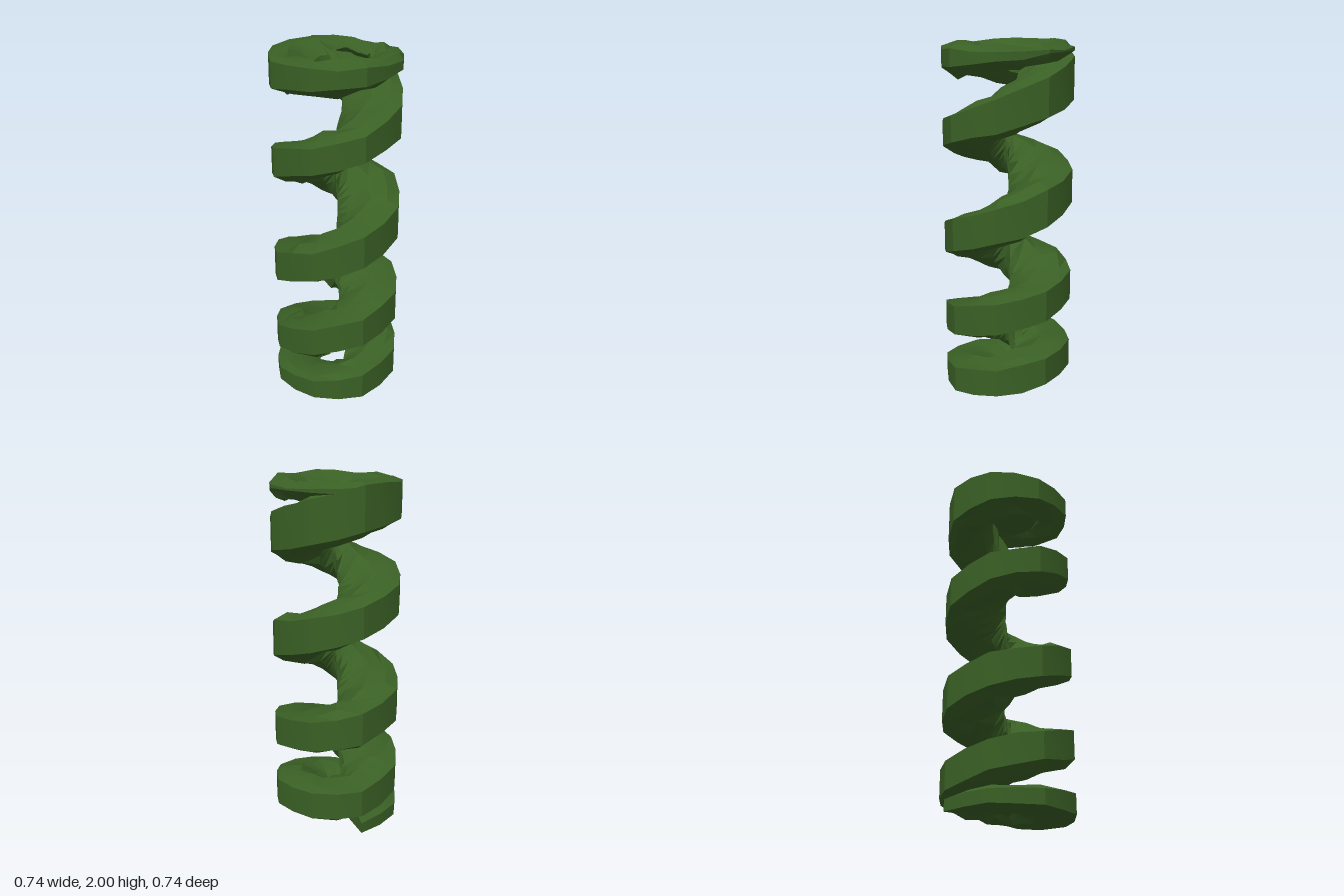
import * as THREE from 'three';
import { toCreasedNormals } from 'three/addons/utils/BufferGeometryUtils.js';

// Coil stations, one per quarter turn from the back:
// [centre height, outer face height, inner radius]
const STATIONS = [
  [0.03, 0.07, 0.1], [0.04, 0.08, 0.1], [0.08, 0.16, 0.09], [0.165, 0.17, 0.07],
  [0.185, 0.16, 0.05], [0.31, 0.16, 0.03], [0.45, 0.17, 0.02], [0.56, 0.17, 0.02],
  [0.65, 0.19, 0.02], [0.78, 0.18, 0.02], [0.95, 0.18, 0.02], [1.12, 0.21, 0.02],
  [1.26, 0.18, 0.02], [1.41, 0.16, 0.02], [1.54, 0.15, 0.02], [1.72, 0.21, 0.03],
  [1.87, 0.24, 0.12], [1.89, 0.14, 0.17], [1.915, 0.09, 0.19], [1.95, 0.02, 0.18],
  [1.96, 0.02, 0.18],
];
const OUTER = 0.372;

// Cross-section: [0 inner .. 1 outer, multiple of the outer face height, added height]
const SECTION = [
  [1, -0.5, 0], [1, 0.5, 0], [0.8, 0.5, 0.02], [0.5, 0.5, 0.03], [0.2, 0.42, 0],
  [0, 0.2, 0], [0, -0.3, 0], [0.2, -0.5, -0.03], [0.5, -0.5, -0.05], [0.8, -0.5, -0.03],
];
const STEPS = 4; // slices per quarter turn

function seeded(seed) {
  return () => {
    seed = (seed * 16807) % 2147483647;
    return seed / 2147483647 - 0.5;
  };
}

function coilGeometry() {
  const rand = seeded(71);
  const pos = [], index = [];
  const n = SECTION.length;
  const slices = (STATIONS.length - 1) * STEPS;
  for (let i = 0; i <= slices; i++) {
    const k = Math.min(Math.floor(i / STEPS), STATIONS.length - 2);
    const t = i / STEPS - k;
    const [y0, h, inner] = STATIONS[k].map((v, c) => THREE.MathUtils.lerp(v, STATIONS[k + 1][c], t));
    const a = (i / STEPS) * Math.PI / 2;
    const facet = [1, 0.97, 1, 0.97][i % 4]; // slightly faceted outline
    SECTION.forEach(([s, f, g], j) => {
      // crumple the skin, keeping the outer edge on its radius
      const r = THREE.MathUtils.lerp(inner, OUTER, s) * facet + (j < 2 ? 0 : rand() * 0.03);
      const y = y0 + f * h + g + rand() * (j < 2 ? 0.015 : 0.035);
      pos.push(-Math.sin(a) * r, THREE.MathUtils.clamp(y, 0, 2), -Math.cos(a) * r);
    });
  }
  for (let i = 0; i < slices; i++) {
    for (let j = 0; j < n; j++) {
      const p = i * n + j, q = i * n + (j + 1) % n;
      index.push(p, p + n, q, q, p + n, q + n);
    }
  }
  // end caps
  const last = slices * n;
  for (let j = 1; j < n - 1; j++) {
    index.push(0, j, j + 1, last, last + j + 1, last + j);
  }
  const geo = new THREE.BufferGeometry();
  geo.setAttribute('position', new THREE.Float32BufferAttribute(pos, 3));
  geo.setIndex(index);
  return toCreasedNormals(geo, 0.4);
}

export function createModel() {
  const group = new THREE.Group();
  group.name = 'coilSpring';
  const green = new THREE.MeshStandardMaterial({ color: 0x3a6025, side: THREE.DoubleSide });
  green.name = 'darkGreen';

  const coil = new THREE.Mesh(coilGeometry(), green);
  coil.name = 'coil';
  group.add(coil);

  // shallow dish closing the top ring
  const profile = [[0, 1.865], [0.14, 1.875], [0.22, 1.9]].map(([x, y]) => new THREE.Vector2(x, y));
  const dish = new THREE.Mesh(new THREE.LatheGeometry(profile, 16), green);
  dish.name = 'topDish';
  group.add(dish);
  return group;
}
